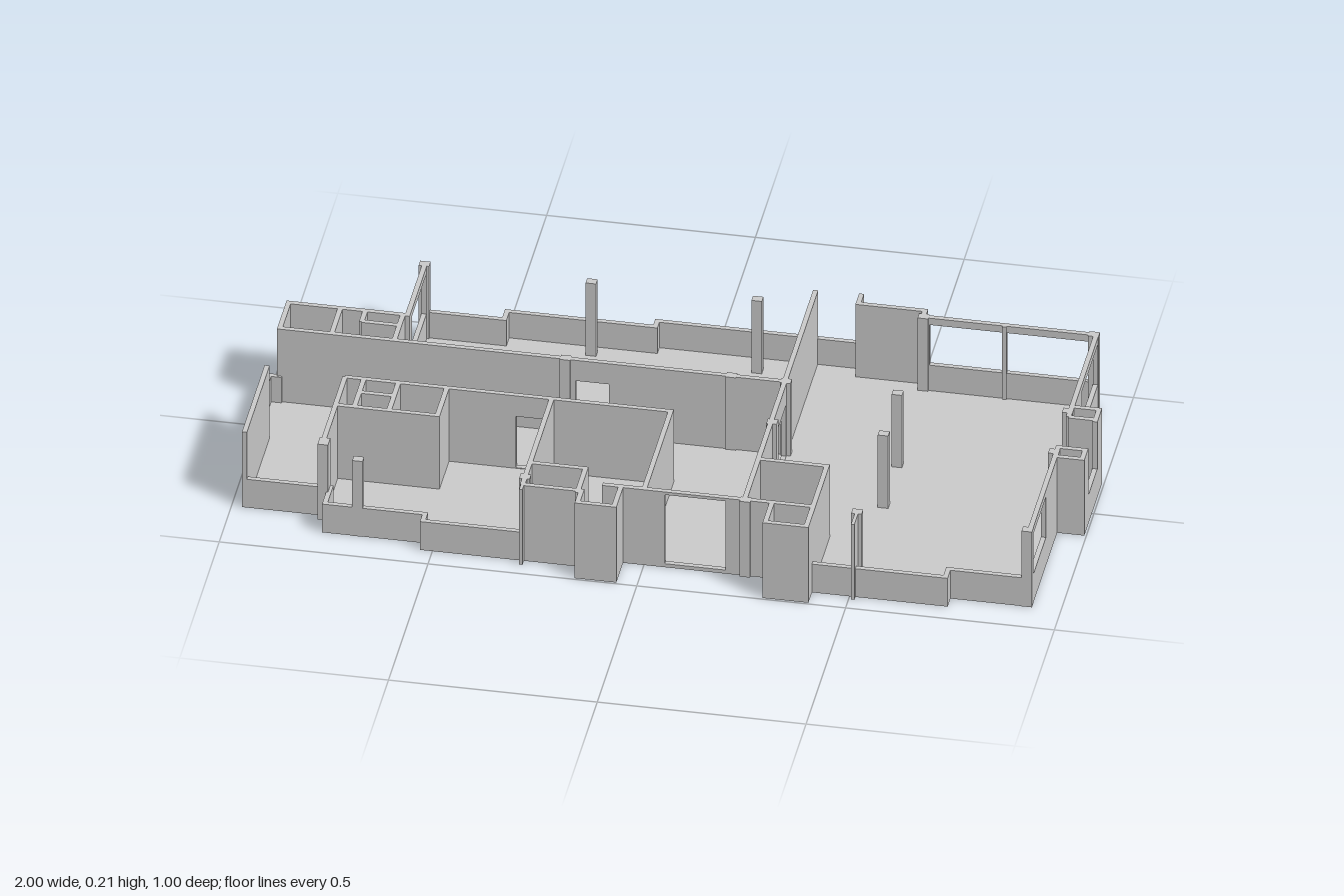
import * as THREE from 'three';

const H = 0.213, SILL = 0.08, T = 0.012, DOOR = 0.155;

export function createModel() {
  const model = new THREE.Group();
  model.name = 'floorPlanBuilding';
  const mat = new THREE.MeshStandardMaterial({ color: 0xcccccc, flatShading: true });

  function add(parent, geo, name) {
    const m = new THREE.Mesh(geo, mat);
    m.name = name;
    parent.add(m);
    return m;
  }
  function group(name) {
    const g = new THREE.Group();
    g.name = name;
    model.add(g);
    return g;
  }

  // Axis-aligned wall on its centre line; openings are [from, to, bottom, top] in world units
  function wall(parent, name, ax, az, bx, bz, h = H, openings = []) {
    const alongX = Math.abs(bx - ax) > Math.abs(bz - az);
    const s0 = alongX ? Math.min(ax, bx) : Math.min(az, bz);
    const s1 = alongX ? Math.max(ax, bx) : Math.max(az, bz);
    const rect = (P, a, b, lo, hi) => {
      const p = new P();
      p.moveTo(a, lo); p.lineTo(b, lo); p.lineTo(b, hi); p.lineTo(a, hi); p.closePath();
      return p;
    };
    const shape = rect(THREE.Shape, s0, s1, 0, h);
    for (const [a, b, lo, hi] of openings) shape.holes.push(rect(THREE.Path, a, b, lo, hi));
    const geo = new THREE.ExtrudeGeometry(shape, { depth: T, bevelEnabled: false });
    geo.translate(0, 0, -T / 2);
    if (alongX) geo.translate(0, 0, az);
    else geo.rotateY(-Math.PI / 2).translate(ax, 0, 0);
    add(parent, geo, name);
  }

  // Perimeter corners, clockwise from above; third entry is the height of the wall that starts there,
  // the fourth its openings
  const win = (a, b) => [a, b, SILL, 0.194];
  const outline = [
    [-0.69, -0.44, SILL], [-0.5, -0.44, SILL], [-0.5, -0.475, SILL], [-0.145, -0.475, SILL],
    [-0.145, -0.5, SILL], [0.355, -0.5, H], [0.355, -0.465, H], [0.515, -0.465, H],
    [0.515, -0.44, H, [win(0.525, 0.7), win(0.71, 0.91)]],
    [0.93, -0.44, H, [win(-0.42, -0.222)]], [0.93, -0.13, H], [0.995, -0.13, H],
    [0.995, -0.07, SILL], [0.995, 0.045, H], [0.995, 0.095, H],
    [0.93, 0.095, H, [win(0.237, 0.4)]], [0.93, 0.415, SILL],
    [0.735, 0.415, SILL], [0.735, 0.45, SILL], [0.41, 0.45, H],
    [0.41, 0.495, H], [0.3, 0.495, H], [0.3, 0.41, H, [[0.05, 0.195, 0.01, 0.205]]],
    [-0.05, 0.41, H], [-0.05, 0.495, H], [-0.15, 0.495, H], [-0.15, 0.445, H],
    [-0.285, 0.445, SILL], [-0.53, 0.445, SILL], [-0.53, 0.415, SILL],
    [-0.77, 0.415, SILL], [-0.77, 0.345, SILL], [-0.975, 0.345, H],
    [-0.975, 0.07, SILL], [-1, 0.07, SILL], [-1, -0.105, SILL],
    [-0.975, -0.105, H], [-0.975, -0.22, H], [-0.69, -0.22, H, [win(-0.42, -0.235)]],
  ];

  // Floor slab
  const slab = new THREE.Shape(outline.map(([x, z]) => new THREE.Vector2(x, -z)));
  const slabGeo = new THREE.ExtrudeGeometry(slab, { depth: 0.008, bevelEnabled: false });
  add(model, slabGeo.rotateX(-Math.PI / 2), 'floor');

  // Outer walls, set inward by half their thickness
  const outer = group('outerWalls');
  const n = outline.length;
  const dir = (i) => {
    const a = outline[i % n], b = outline[(i + 1) % n];
    return [Math.sign(b[0] - a[0]), Math.sign(b[1] - a[1])];
  };
  outline.forEach(([x, z, h, openings], i) => {
    const [ex, ez] = outline[(i + 1) % n];
    const [dx, dz] = dir(i), [nx, nz] = dir(i + 1);
    const ext = dx * nz - dz * nx < 0 ? T : 0; // fill inward corners
    const ox = -dz * T / 2, oz = dx * T / 2;
    wall(outer, h === H ? 'fullOuterWall' : 'lowOuterWall',
      x + ox, z + oz, ex + ox + dx * ext, ez + oz + dz * ext, h, openings);
  });

  // Inner walls: [ax, az, bx, bz, openings]
  const inner = group('innerWalls');
  const door = (a, b) => [[a, b, 0.01, DOOR]];
  [
    // corridor and main cross wall
    [-0.975, -0.104, 0.24, -0.104, door(-0.26, -0.18)],
    [-0.78, 0.07, 0.006, 0.07, door(-0.37, -0.292)],
    [0.24, -0.495, 0.24, 0.41, door(-0.09, 0.06)],
    // south rooms
    [-0.78, 0.07, -0.78, 0.345],
    [-0.285, 0.07, -0.285, 0.44],
    [0, 0.07, 0, 0.405],
    [-0.285, 0.345, -0.15, 0.345],
    [-0.152, 0.34, -0.152, 0.45],
    [-0.1, 0.404, -0.05, 0.404],
    [0.24, 0.23, 0.41, 0.23],
    [0.404, 0.225, 0.404, 0.45],
    [0.3, 0.404, 0.41, 0.404],
    // south-west cabin
    [-0.78, 0.19, -0.53, 0.19],
    [-0.536, 0.07, -0.536, 0.19],
    [-0.652, 0.07, -0.652, 0.19],
    [-0.735, 0.07, -0.735, 0.19],
    [-0.735, 0.127, -0.652, 0.127],
    // north-west service rooms
    [-0.845, -0.215, -0.845, -0.104],
    [-0.785, -0.215, -0.785, -0.165],
    [-0.785, -0.168, -0.69, -0.168],
    [-0.695, -0.22, -0.695, -0.104],
    // east shafts
    [0.924, -0.13, 0.924, -0.08],
    [0.924, -0.08, 0.995, -0.08],
    [0.924, 0.05, 0.995, 0.05],
    [0.924, 0.045, 0.924, 0.095],
  ].forEach(([ax, az, bx, bz, o]) => wall(inner, 'innerWall', ax, az, bx, bz, H, o));

  // Columns and fins: [x, z, width, depth]
  const columns = group('columns');
  [
    ...[-0.685, -0.285, 0.112, 0.51].map((x) => [x, -0.434]),
    ...[-0.285, 0.112, 0.243, 0.51].map((x) => [x, -0.105]),
    ...[0.243, 0.51].map((x) => [x, 0.07]),
    ...[-0.685, -0.285, 0.243, 0.51].map((x) => [x, 0.406]),
    ...[-0.434, -0.105, 0.07, 0.406].map((z) => [0.918, z]),
    [-0.778, 0.348, 0.025, 0.03],
    [-0.285, 0.435, 0.008, 0.055], [0.51, 0.435, 0.008, 0.055], [0.705, -0.432, 0.01, 0.016],
  ].forEach(([x, z, w = 0.025, d = 0.02]) =>
    add(columns, new THREE.BoxGeometry(w, H, d).translate(x, H / 2, z), 'column'));

  return model;
}
